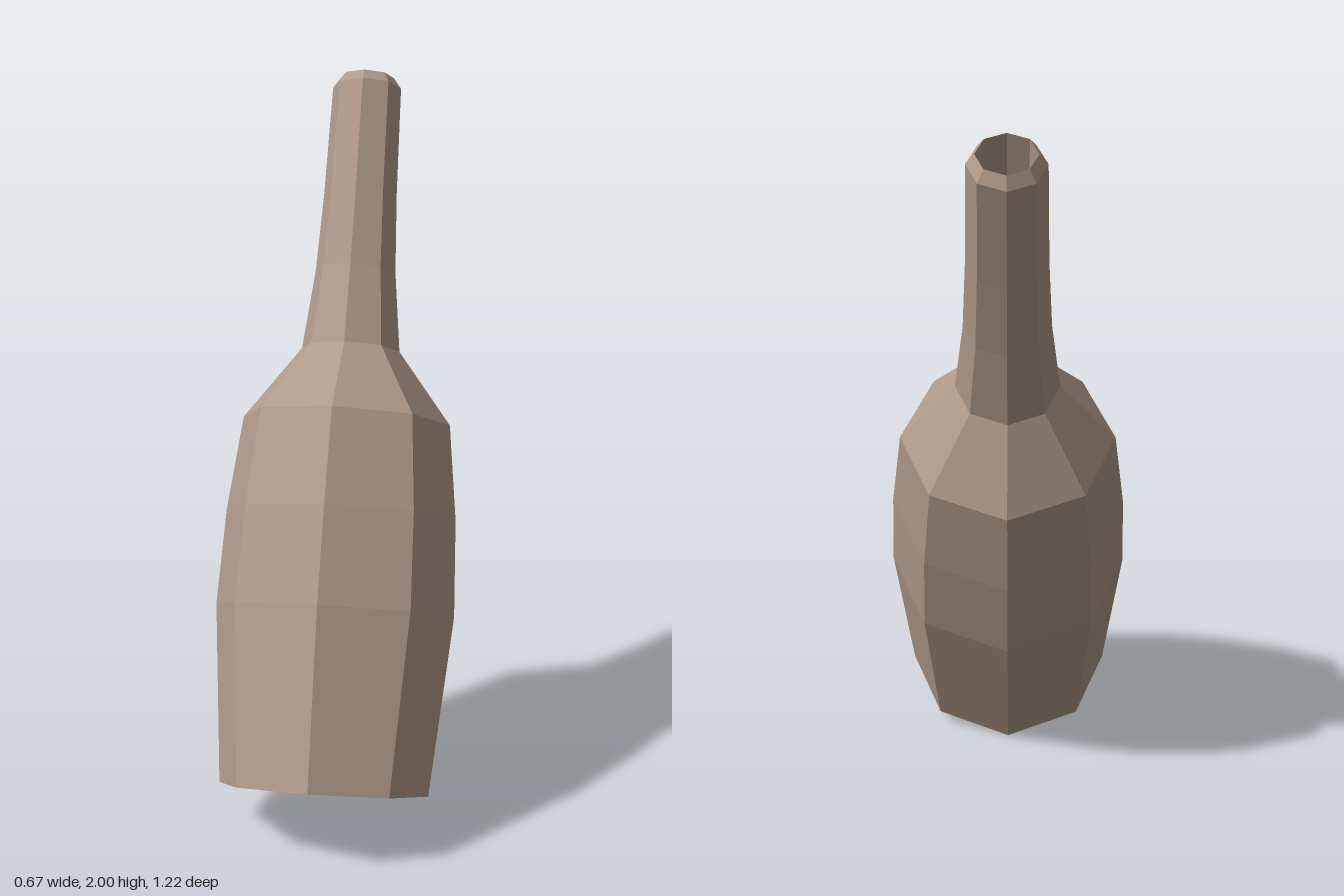
import * as THREE from 'three';

const TILT = 0.444; // lean towards the back, in radians
const SIDES = 8;

export function createModel() {
  const group = new THREE.Group();
  group.name = 'leaningBottle';
  const material = new THREE.MeshStandardMaterial({ color: 0xb09a8a, flatShading: true });

  // Each part is an eight-sided turned profile of [radius, height] pairs
  const turned = (name, profile) => {
    const points = profile.map(([r, h]) => new THREE.Vector2(r, h));
    const mesh = new THREE.Mesh(new THREE.LatheGeometry(points, SIDES), material);
    mesh.name = name;
    group.add(mesh);
  };

  // Slightly hollowed underside
  turned('base', [[0, 0.03], [0.17, 0.025], [0.293, 0]]);

  // Swelling body and shoulder
  turned('body', [[0.293, 0], [0.337, 0.497], [0.326, 0.766], [0.295, 1.033], [0.14, 1.237]]);

  // Slender neck with a bevelled lip
  turned('neck', [[0.14, 1.237], [0.115, 1.464], [0.105, 1.69], [0.099, 2.005], [0.077, 2.036]]);

  // Inside of the open mouth
  turned('mouth', [[0.077, 2.036], [0.077, 1.7], [0.08, 1.5], [0, 1.5]]);

  group.rotation.x = -TILT;
  group.position.set(0, 0.13, 0.347);

  const model = new THREE.Group();
  model.name = 'bottle';
  model.add(group);
  return model;
}
